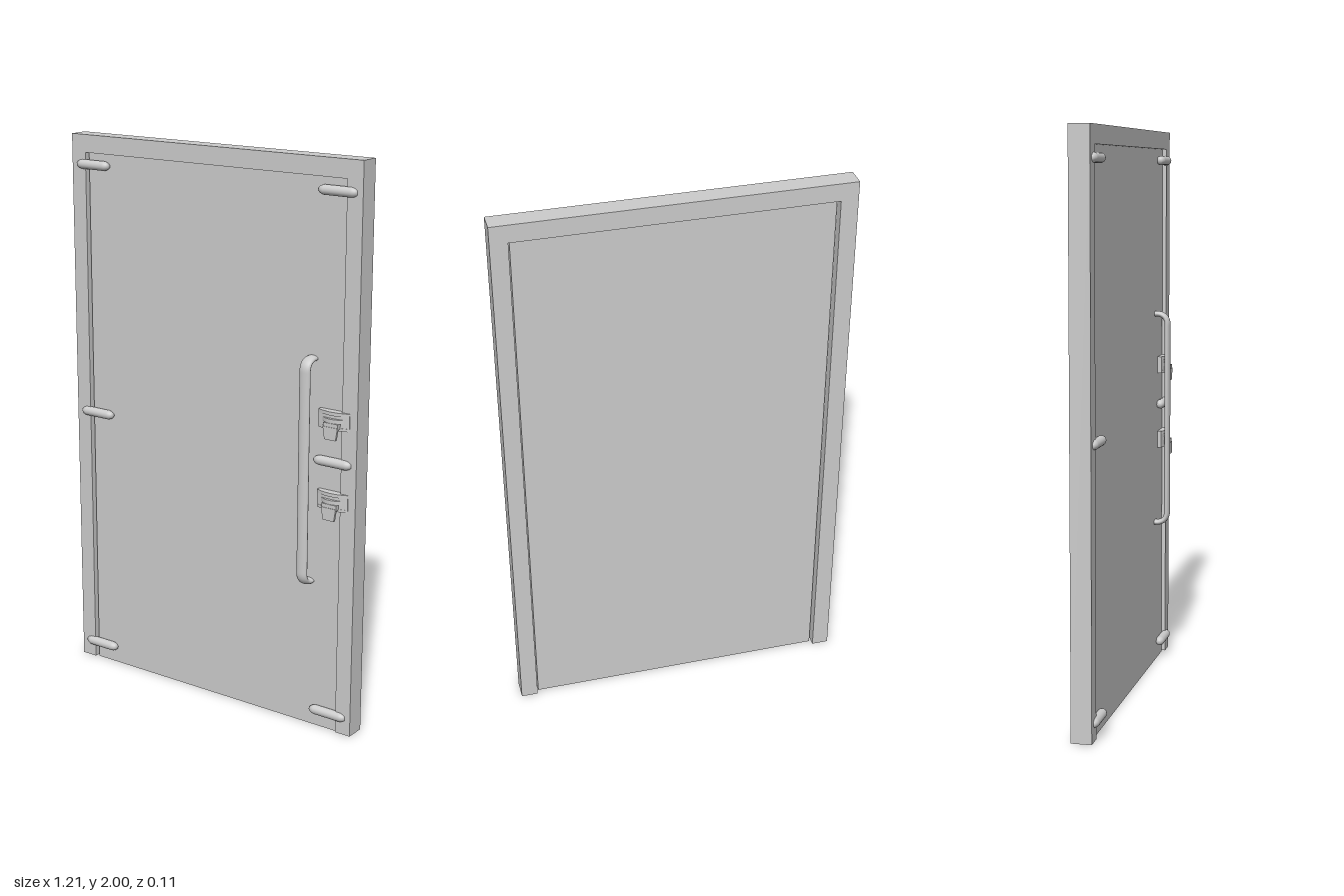
import * as THREE from 'three';

const grey = new THREE.MeshStandardMaterial({ color: 0xcccccc, side: THREE.DoubleSide });

function add(parent, name, geometry, x = 0, y = 0, z = 0) {
  const mesh = new THREE.Mesh(geometry, grey);
  mesh.name = name;
  mesh.position.set(x, y, z);
  parent.add(mesh);
  return mesh;
}

function extrude(points, depth) {
  const shape = new THREE.Shape(points.map(([x, y]) => new THREE.Vector2(x, y)));
  return new THREE.ExtrudeGeometry(shape, { depth, bevelEnabled: false });
}

// Horizontal rod with softened, tapering ends
function rodGeometry(length) {
  const h = length / 2, r = 0.017;
  const half = [[0, h], [0.007, h], [0.012, h - 0.006], [0.0155, h - 0.014], [r, h - 0.022]];
  const profile = [...half.map(([a, b]) => [a, -b]), ...half.reverse()];
  const geometry = new THREE.LatheGeometry(profile.map(([a, b]) => new THREE.Vector2(a, b)), 20);
  return geometry.rotateZ(Math.PI / 2);
}

// Bowed plate: a shallow arch in x-z, extruded along y
function bowedPlate(width, height, bulge) {
  const pts = [[-width / 2, 0.016], [width / 2, 0.016]];
  for (let i = 0; i <= 12; i++) {
    const t = 1 - i / 6;
    pts.push([t * width / 2, -0.004 - bulge * (1 - t * t)]);
  }
  return extrude(pts, height).rotateX(-Math.PI / 2).translate(0, -height / 2, 0);
}

function createLatch(y) {
  const latch = new THREE.Group();
  latch.name = 'latch';
  latch.position.set(0.515, y, 0.011);
  add(latch, 'latchPlate', bowedPlate(0.122, 0.054, 0.008), 0, 0, 0);
  add(latch, 'latchUpperLip', bowedPlate(0.122, 0.012, 0.014), 0, 0.026, 0);
  add(latch, 'latchLowerLip', bowedPlate(0.122, 0.01, 0.011), 0, -0.025, 0);
  add(latch, 'latchBar', bowedPlate(0.095, 0.014, 0.02), 0, 0.002, 0);
  // Thumb tab leaning slightly outward
  const tab = extrude([[-0.022, -0.062], [0.022, -0.062], [0.029, -0.018], [-0.029, -0.018]], 0.009);
  add(latch, 'latchTab', tab, 0, 0, 0.019);
  add(latch, 'latchTabNeck', new THREE.BoxGeometry(0.058, 0.018, 0.02), 0, -0.014, 0.016);
  return latch;
}

export function createModel() {
  const model = new THREE.Group();
  model.name = 'door';

  // Three-sided frame, open at the floor
  const X = 0.605, x = 0.545, foot = 0.003, head = 1.937;
  add(model, 'frame', extrude([[-X, foot], [-x, foot], [-x, head], [x, head],
    [x, foot], [X, foot], [X, 2], [-X, 2]], 0.071), 0, 0, -0.058);

  // Door leaf, with a narrow gap at both jambs
  add(model, 'doorLeaf', new THREE.BoxGeometry(1.077, head, 0.037), 0, head / 2, -0.0185);

  // Hinges on one side, bolts on the other
  const hinge = rodGeometry(0.142), bolt = rodGeometry(0.146);
  for (const y of [0.065, 0.985, 1.895]) {
    add(model, 'hinge', hinge, -0.511, y, 0.011);
    add(model, 'bolt', bolt, 0.511, y, 0.011);
  }

  // Latches above and below the middle bolt
  model.add(createLatch(1.133), createLatch(0.85));

  // Long pull handle of flattened oval section, with bent ends
  const V = (y, z) => new THREE.Vector3(0, y, z);
  const path = new THREE.CurvePath();
  path.add(new THREE.LineCurve3(V(0.395, -0.002), V(0.395, 0.012)));
  path.add(new THREE.QuadraticBezierCurve3(V(0.395, 0.012), V(0.39, 0.046), V(0.355, 0.046)));
  path.add(new THREE.LineCurve3(V(0.355, 0.046), V(-0.355, 0.046)));
  path.add(new THREE.QuadraticBezierCurve3(V(-0.355, 0.046), V(-0.39, 0.046), V(-0.395, 0.012)));
  path.add(new THREE.LineCurve3(V(-0.395, 0.012), V(-0.395, -0.002)));
  const tube = new THREE.TubeGeometry(path, 160, 0.0105, 16).scale(2, 1, 1);
  add(model, 'pullHandle', tube, 0.418, 0.935, 0);

  return model;
}
